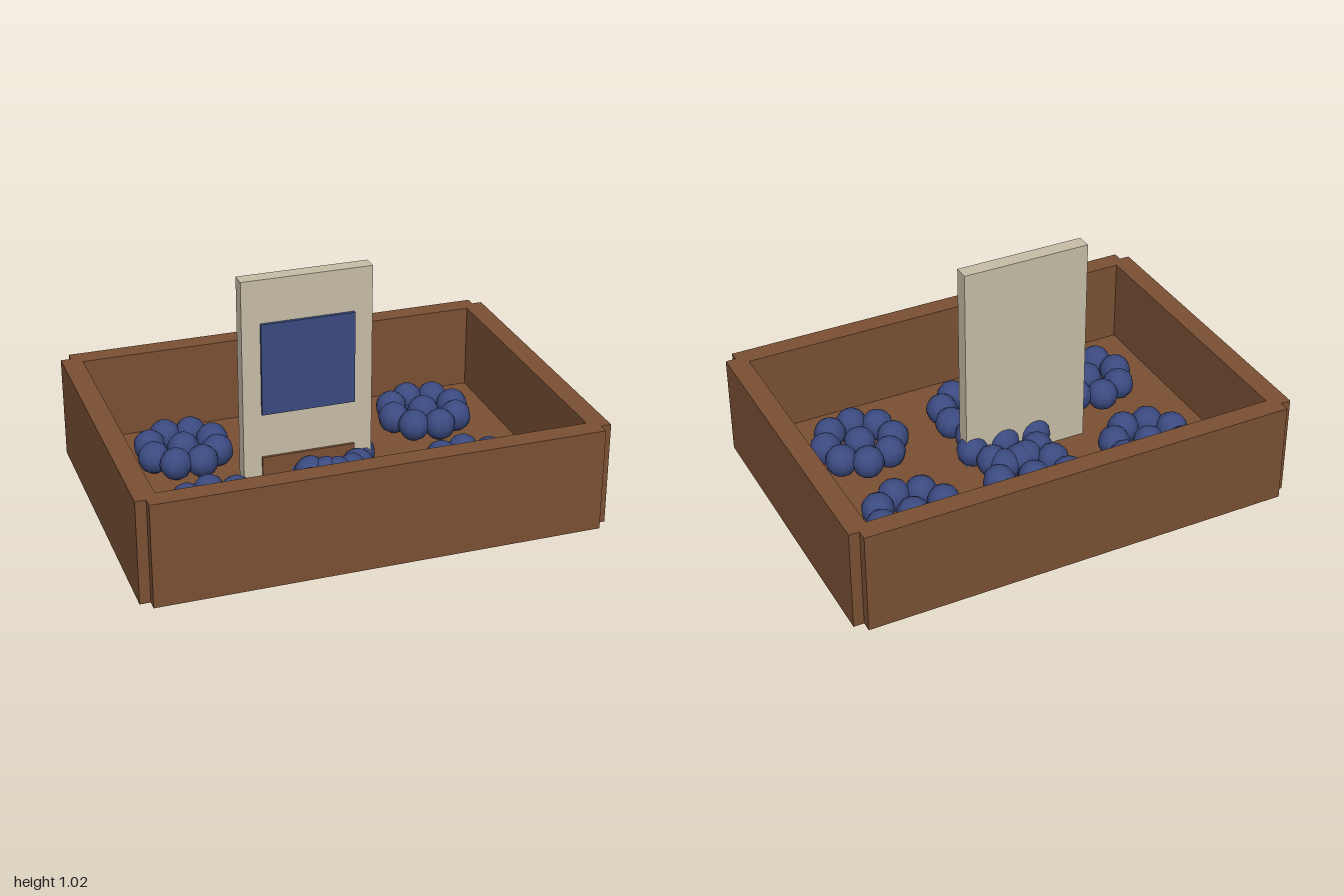
import * as THREE from 'three';

export function createModel() {
  const model = new THREE.Group();

  const wood = new THREE.MeshStandardMaterial({ color: 0x7b5034 });
  wood.name = 'brown wood';
  const cream = new THREE.MeshStandardMaterial({ color: 0xc8bfa8 });
  cream.name = 'cream board';
  const blue = new THREE.MeshStandardMaterial({ color: 0x3b4a80 });
  blue.name = 'berry blue';

  // Box given by its lower and upper corners
  function box(name, material, [x0, y0, z0], [x1, y1, z1], parent = model) {
    const mesh = new THREE.Mesh(new THREE.BoxGeometry(x1 - x0, y1 - y0, z1 - z0), material);
    mesh.position.set((x0 + x1) / 2, (y0 + y1) / 2, (z0 + z1) / 2);
    mesh.name = name;
    parent.add(mesh);
  }

  // Crate: floor and four overlapping walls that leave notched corners
  const crate = new THREE.Group();
  crate.name = 'crate';
  model.add(crate);
  const floorTop = 0.07, wallTop = 0.455;
  box('crateFloor', wood, [-0.93, 0, -0.65], [0.93, floorTop, 0.65], crate);
  box('frontWall', wood, [-0.955, 0, 0.63], [0.955, wallTop, 0.72], crate);
  box('backWall', wood, [-0.955, 0, -0.72], [0.955, wallTop, -0.63], crate);
  box('leftWall', wood, [0.91, 0, -0.675], [1, wallTop, 0.675], crate);
  box('rightWall', wood, [-1, 0, -0.675], [-0.91, wallTop, 0.675], crate);

  // Sign board standing through the floor, with raised panels on its front
  const sign = new THREE.Group();
  sign.name = 'sign';
  model.add(sign);
  box('signBoard', cream, [-0.385, 0, -0.015], [0.185, 1.025, 0.052], sign);
  box('upperPanel', blue, [-0.305, 0.42, 0.05], [0.105, 0.832, 0.066], sign);
  box('lowerPanel', wood, [-0.305, 0.07, 0.05], [0.105, 0.22, 0.064], sign);
  box('signTab', cream, [-0.05, 0.07, 0.05], [0.06, 0.13, 0.095], sign);

  // Berry clusters: one berry ringed by eight; [x, z, turn in degrees]
  const berry = new THREE.SphereGeometry(0.071, 10, 8);
  const clusters = [
    [-0.56, -0.285, -18], [0, -0.285, 15], [0.56, -0.285, -8],
    [-0.56, 0.275, 0], [0, 0.275, -18], [0.56, 0.275, 9],
    [0, 0, 0],
  ];
  for (const [x, z, turn] of clusters) {
    const cluster = new THREE.Group();
    cluster.name = 'berryCluster';
    cluster.position.set(x, floorTop + 0.07, z);
    cluster.rotation.y = -THREE.MathUtils.degToRad(turn);
    for (let i = 0; i <= 8; i++) {
      const mesh = new THREE.Mesh(berry, blue);
      mesh.name = i === 8 ? 'centreBerry' : 'ringBerry';
      const angle = (i * Math.PI) / 4;
      if (i < 8) mesh.position.set(0.15 * Math.cos(angle), 0, 0.15 * Math.sin(angle));
      mesh.rotation.y = -angle;
      cluster.add(mesh);
    }
    model.add(cluster);
  }

  return model;
}
